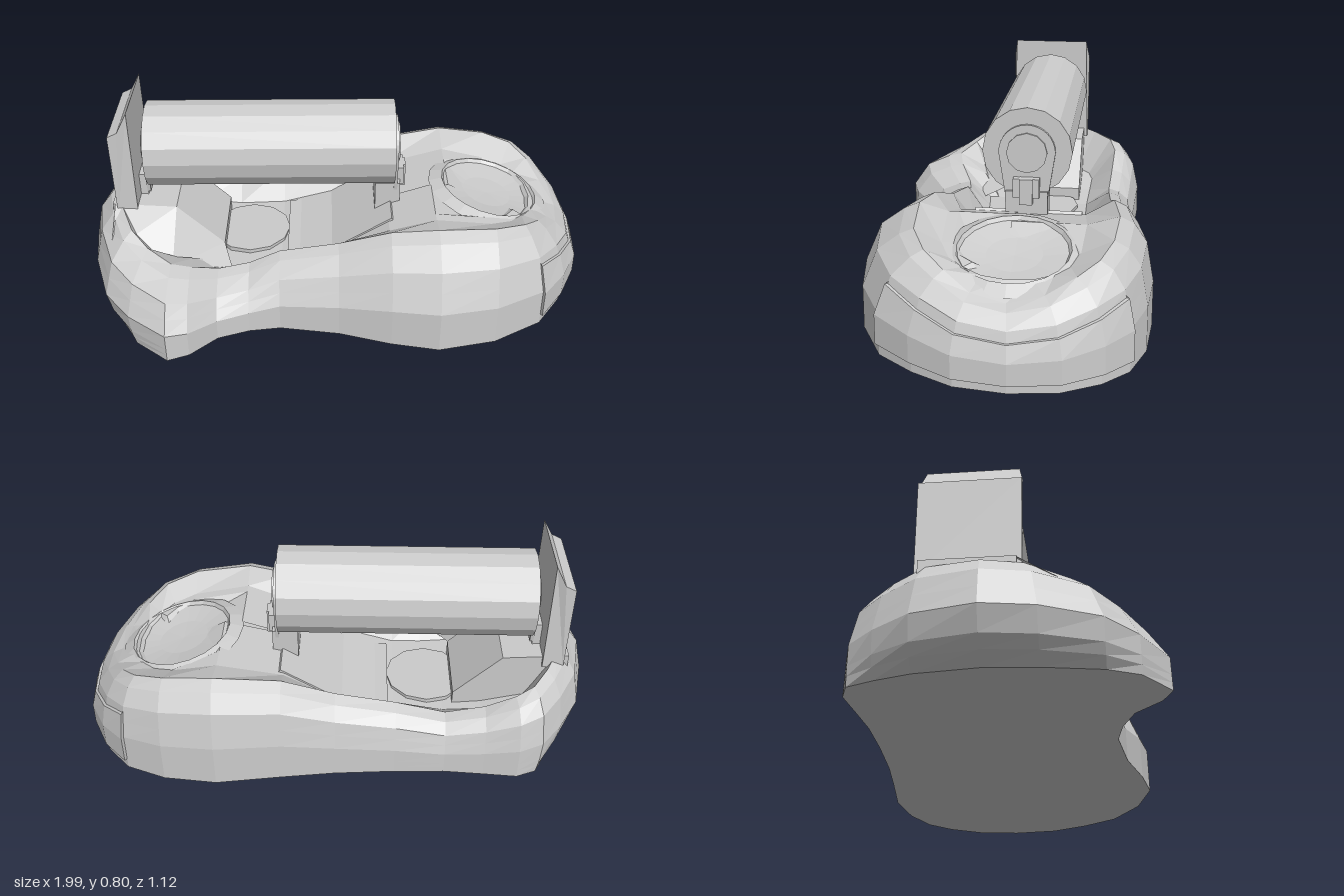
import * as THREE from 'three';

const AXIS_Y = 0.57, AXIS_Z = -0.08;

const mat = () => new THREE.MeshStandardMaterial({ color: 0xcccccc, flatShading: true, side: THREE.DoubleSide });

function add(parent, name, geo, x = 0, y = 0, z = 0) {
  const m = new THREE.Mesh(geo, mat());
  m.name = name;
  m.position.set(x, y, z);
  parent.add(m);
  return m;
}

// Footprint of the base, counter-clockwise from above: x, z, height of the rim
const outline = [
  [-1, -0.03, 0.38], [-0.97, 0.15, 0.38], [-0.9, 0.35, 0.35], [-0.8, 0.46, 0.31], [-0.65, 0.56, 0.28],
  [-0.57, 0.53, 0.25], [-0.47, 0.44, 0.2], [-0.35, 0.4, 0.21], [-0.23, 0.385, 0.26], [0, 0.42, 0.31],
  [0.2, 0.48, 0.385], [0.38, 0.515, 0.41], [0.6, 0.47, 0.395], [0.79, 0.365, 0.37], [0.89, 0.23, 0.33],
  [0.965, 0.08, 0.28], [0.985, -0.1, 0.26], [0.96, -0.27, 0.29], [0.89, -0.4, 0.34], [0.8, -0.49, 0.375],
  [0.65, -0.545, 0.4], [0.45, -0.565, 0.415], [0.2, -0.53, 0.385], [0, -0.505, 0.31], [-0.23, -0.49, 0.26],
  [-0.42, -0.485, 0.21], [-0.57, -0.495, 0.25], [-0.7, -0.505, 0.31], [-0.79, -0.475, 0.34],
  [-0.87, -0.38, 0.36], [-0.95, -0.25, 0.38],
];

const floorProfile = [[-1, 0.3], [-0.86, 0.36], [-0.78, 0.2], [-0.5, 0.13], [-0.1, 0.14], [0.05, 0.22],
  [0.2, 0.32], [0.3, 0.37], [0.42, 0.385], [0.82, 0.3], [1, 0.22]];

function interp(table, x) {
  for (let i = 1; i < table.length; i++) {
    const [x0, y0] = table[i - 1], [x1, y1] = table[i];
    if (x <= x1) return y0 + (y1 - y0) * Math.max(0, (x - x0) / (x1 - x0));
  }
  return table[table.length - 1][1];
}

// Height of the sunken top: lowered below the dish, raised in the front left corner
function floorAt(x, z) {
  const inDish = Math.hypot(x - 0.62, z - AXIS_Z) < 0.15;
  const inCorner = x < -0.5 && z > 0.18;
  return interp(floorProfile, x) - (inDish ? 0.05 : 0) + (inCorner ? 0.06 : 0);
}

// Point at fraction k from the base's spine to its outline
function toward([x, z], k) {
  const sx = THREE.MathUtils.clamp(x, -0.62, 0.6), sz = -0.05;
  return [sx + (x - sx) * k, sz + (z - sz) * k];
}

// Outline fraction of the crest: the front shoulder is broader than the rear one
const crest = p => 0.75 - 0.13 * THREE.MathUtils.clamp(0.5 + p[1], 0, 1);

// Point on the outer wall at fraction f of the rim height
function wallPoint(p, f, grow = 0) {
  const c = crest(p);
  const wall = [[0, 1], [0.42, 0.995], [0.78, 0.595 + 0.46 * c], [0.94, c + 0.1], [1, c]];
  const [x, z] = toward(p, interp(wall, f) + grow);
  const tuck = f < 0.42 ? 0.5 * Math.max(0, -0.76 - p[0]) * (1 - f / 0.42) ** 2 : 0;
  return [x + tuck, f * p[2], z];
}

// Joins equal-length rings of points with quads
function loft(rings, closed) {
  const n = rings[0].length, idx = [];
  for (let j = 0; j < rings.length - 1; j++) {
    for (let i = 0; i < (closed ? n : n - 1); i++) {
      const a = j * n + i, b = j * n + (i + 1) % n;
      idx.push(a, b, b + n, a, b + n, a + n);
    }
  }
  const g = new THREE.BufferGeometry();
  g.setAttribute('position', new THREE.Float32BufferAttribute(rings.flat(2), 3));
  g.setIndex(idx);
  g.computeVertexNormals();
  return g;
}

function baseGeometry() {
  const rings = [outline.map(p => { const [x, z] = toward(p, 0); return [x, 0, z]; })];
  for (const f of [0, 0.1, 0.2, 0.42, 0.6, 0.78, 0.94, 1]) rings.push(outline.map(p => wallPoint(p, f)));
  const floorPoint = (p, k) => {
    const [x, z] = toward(p, k);
    return [x, floorAt(x, z), z];
  };
  rings.push(outline.map(p => floorPoint(p, crest(p) * 0.7)));
  for (const k of [0.36, 0.2, 0]) rings.push(outline.map(p => floorPoint(p, k)));
  return loft(rings, true);
}

// Raised band wrapping the right end, its top edge dipping in the middle
function bumperGeometry() {
  const span = [13, 13, 14, 15, 16, 17, 18, 19, 19].map(i => outline[i]);
  const last = span.length - 1;
  const rows = [[0.12, -0.03], [0.12, 0.03], [0.42, 0.03], [0.75, 0.025], [0.75, -0.03]];
  return loft(rows.map(([f, grow]) => span.map((p, i) => {
    const dip = f > 0.7 ? 0.11 * Math.sin(Math.PI * i / last) : 0;
    return wallPoint(p, f - dip, i === 0 || i === last ? -0.03 : grow);
  })), false);
}

function extrude(points, depth) {
  const shape = new THREE.Shape(points.map(([x, y]) => new THREE.Vector2(x, y)));
  return new THREE.ExtrudeGeometry(shape, { depth, bevelEnabled: false });
}

// Rounded bracket outline that holds one end of the roller
function bracketGeometry() {
  const s = new THREE.Shape();
  s.moveTo(0.08, -0.18);
  s.lineTo(0.107, 0);
  s.absarc(0, 0, 0.107, 0, Math.PI, false);
  s.lineTo(-0.08, -0.18);
  s.closePath();
  return new THREE.ExtrudeGeometry(s, { depth: 0.014, bevelEnabled: false, curveSegments: 8 }).rotateY(Math.PI / 2);
}

function rod(radius, length, sides = 16) {
  return new THREE.CylinderGeometry(radius, radius, length, sides).rotateZ(Math.PI / 2);
}

export function createModel() {
  const model = new THREE.Group();
  model.name = 'rollerOnBase';

  add(model, 'base', baseGeometry());
  add(model, 'endBumper', bumperGeometry());

  // Shallow tilted dish on the high end
  const dishProfile = [[0.25, -0.02], [0.2, 0.004], [0.19, -0.01], [0.1, -0.024], [0, -0.028]]
    .map(([r, y]) => new THREE.Vector2(r, y));
  add(model, 'dish', new THREE.LatheGeometry(dishProfile, 20), 0.62, 0.345, AXIS_Z).rotation.z = -0.22;

  // Stepped plates on the sunken floor
  add(model, 'floorPlate', new THREE.BoxGeometry(0.33, 0.03, 0.41), 0.08, 0.235, -0.085).rotation.z = 0.56;
  add(model, 'floorTongue', new THREE.BoxGeometry(0.14, 0.03, 0.37), -0.135, 0.14, -0.08);
  add(model, 'floorTray', new THREE.CylinderGeometry(0.16, 0.16, 0.03, 12), -0.36, 0.135, -0.08);

  // Sloping block below the left end of the roller, with a slanted front flank
  const ramp = [[-0.89, 0.1], [-0.46, 0.1], [-0.46, 0.19], [-0.64, 0.37], [-0.89, 0.385]];
  add(model, 'rampBlock', extrude(ramp, 0.32), 0, 0, -0.24);
  add(model, 'rampFlank', loft([
    [[-0.88, 0.28, 0.25], [-0.65, 0.2, 0.25], [-0.42, 0.14, 0.2]],
    [[-0.88, 0.385, 0.08], [-0.64, 0.37, 0.08], [-0.46, 0.19, 0.08]],
  ], false));

  // Upright plate with a tapering top edge
  const plate = extrude([[-0.87, 0.34], [-0.79, 0.34], [-0.79, 0.795], [-0.83, 0.72], [-0.87, 0.7]], 0.35);
  plate.translate(0, 0, -0.175);
  const pos = plate.attributes.position;
  for (let i = 0; i < pos.count; i++) if (pos.getY(i) > 0.75) pos.setZ(i, pos.getZ(i) * 0.92);
  plate.computeVertexNormals();
  add(model, 'backPlate', plate, 0, 0, AXIS_Z);

  // Roller with its end caps and hubs
  const roller = new THREE.Group();
  roller.name = 'roller';
  roller.position.set(-0.2625, AXIS_Y, AXIS_Z);
  model.add(roller);
  add(roller, 'drum', rod(0.17, 0.975));
  for (const side of [1, -1]) {
    add(roller, 'endBracket', bracketGeometry(), side * 0.494 - 0.007);
    add(roller, 'hub', rod(0.077, 0.02, 12), side * 0.499);
  }

  // Supports below the roller ends
  add(model, 'rightSupport', new THREE.BoxGeometry(0.1, 0.14, 0.16), 0.2, 0.35, AXIS_Z);
  add(model, 'rightLatch', new THREE.BoxGeometry(0.035, 0.1, 0.05), 0.256, 0.425, AXIS_Z);
  for (const side of [1, -1]) {
    add(model, 'latchGuide', new THREE.BoxGeometry(0.03, 0.075, 0.025), 0.25, 0.437, AXIS_Z + side * 0.037);
  }
  add(model, 'leftSupport', new THREE.BoxGeometry(0.04, 0.1, 0.16), -0.78, 0.42, AXIS_Z);

  return model;
}
